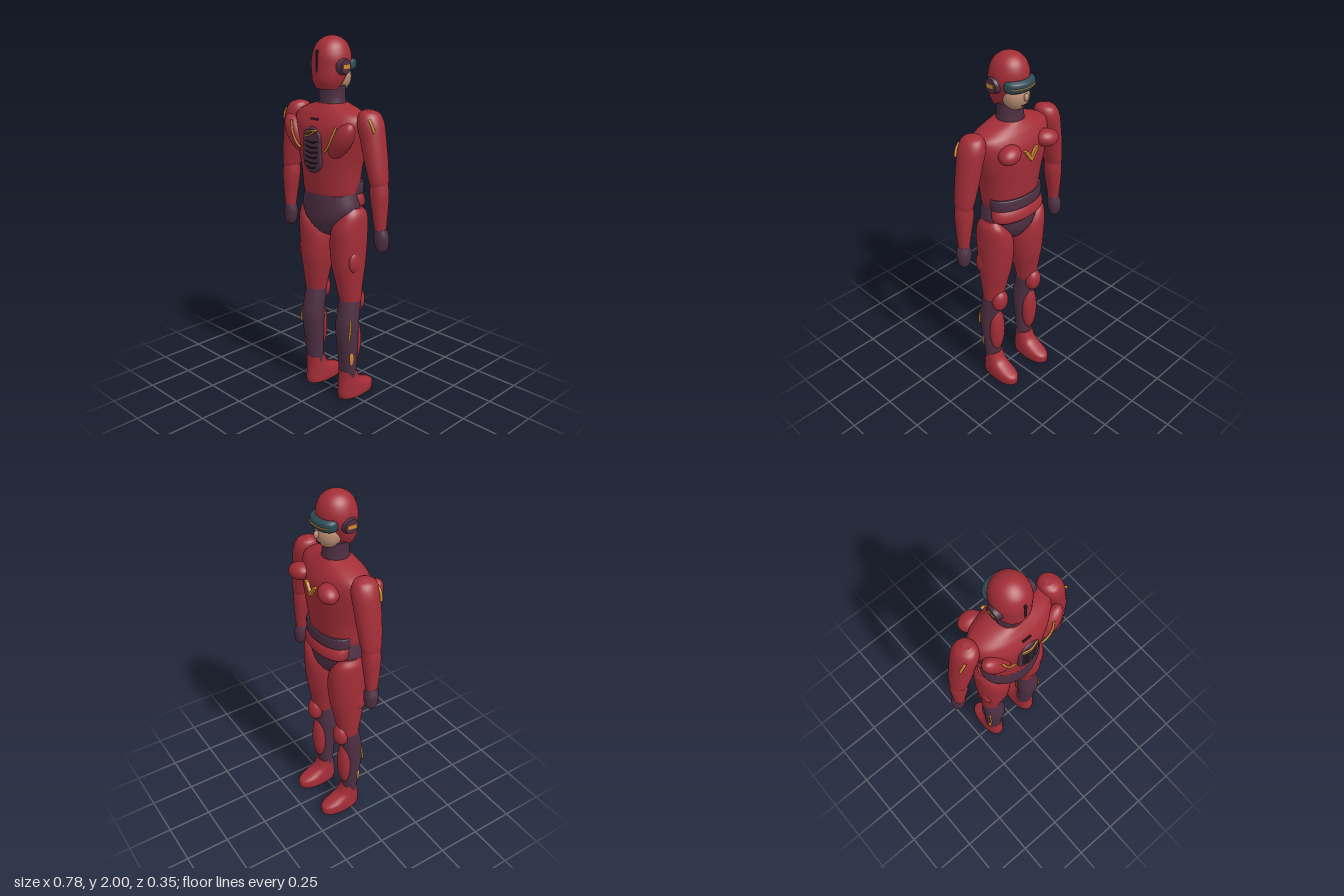
import * as THREE from 'three';

const mat = (name, color) => {
  const m = new THREE.MeshStandardMaterial({ color });
  m.name = name;
  return m;
};

// Smooth upright body made of elliptical sections [y, centreX, centreZ, radiusX, radiusZ], listed bottom to top
function loft(sections, side = 1, power = 2, steps = 5, sides = 36) {
  const centres = new THREE.CatmullRomCurve3(sections.map(s => new THREE.Vector3(s[1] * side, s[0], s[2])), false, 'catmullrom');
  const radii = new THREE.CatmullRomCurve3(sections.map(s => new THREE.Vector3(s[3], 0, s[4])), false, 'catmullrom');
  const rows = (sections.length - 1) * steps;
  const pos = [], idx = [];
  const bend = v => Math.sign(v) * Math.abs(v) ** (2 / power);
  const ring = t => {
    const c = centres.getPoint(t), r = radii.getPoint(t);
    for (let i = 0; i < sides; i++) {
      const a = (i / sides) * Math.PI * 2;
      pos.push(c.x + r.x * bend(Math.cos(a)), c.y, c.z + r.z * bend(Math.sin(a)));
    }
    return c;
  };
  for (let j = 0; j <= rows; j++) ring(j / rows);
  for (let j = 0; j < rows; j++) for (let i = 0; i < sides; i++) {
    const a = j * sides + i, b = j * sides + (i + 1) % sides;
    idx.push(a, a + sides, b, b, a + sides, b + sides);
  }
  // Flat end caps with their own corners
  for (const t of [0, 1]) {
    const start = pos.length / 3, c = ring(t), mid = pos.length / 3;
    pos.push(c.x, c.y, c.z);
    for (let i = 0; i < sides; i++) {
      const a = start + i, b = start + (i + 1) % sides;
      idx.push(...(t ? [mid, b, a] : [mid, a, b]));
    }
  }
  const g = new THREE.BufferGeometry();
  g.setAttribute('position', new THREE.Float32BufferAttribute(pos, 3));
  g.setIndex(idx);
  g.computeVertexNormals();
  return g;
}

const tube = (points, r = 0.006, side = 1) => new THREE.TubeGeometry(
  new THREE.CatmullRomCurve3(points.map(p => new THREE.Vector3(p[0] * side, p[1], p[2]))), 16, r, 8);

export function createModel() {
  const model = new THREE.Group();
  model.name = 'armouredFigure';
  const red = mat('suit red', 0xa32d37), plum = mat('plum', 0x4e2f43), gold = mat('amber trim', 0xcf8a2e);
  const teal = mat('visor teal', 0x2d4a56), skin = mat('skin', 0xb98b72), dark = mat('dark seam', 0x2c1d2a);

  const add = (name, geometry, material, position = [0, 0, 0], rotation = [0, 0, 0]) => {
    const m = new THREE.Mesh(geometry, material);
    m.name = name;
    m.position.set(...position);
    m.rotation.set(...rotation);
    model.add(m);
    return m;
  };
  const ball = (name, material, position, radii, rotation) => {
    add(name, new THREE.SphereGeometry(1, 32, 20), material, position, rotation).scale.set(...radii);
  };

  // Head, looking along -z
  add('helmet', loft([
    [1.735, 0, 0.04, 0.065, 0.055], [1.78, 0, 0.035, 0.085, 0.08], [1.85, 0, 0.015, 0.099, 0.1],
    [1.9, 0, 0.01, 0.099, 0.104], [1.95, 0, 0.008, 0.083, 0.088], [1.98, 0, 0.007, 0.057, 0.06],
    [1.995, 0, 0.007, 0.028, 0.03], [2, 0, 0.007, 0.003, 0.003]]), red);
  ball('face', skin, [0, 1.79, -0.035], [0.072, 0.078, 0.068]);
  ball('nose', skin, [0, 1.795, -0.106], [0.013, 0.02, 0.014]);
  add('mouth', new THREE.BoxGeometry(0.034, 0.005, 0.008), dark, [0, 1.753, -0.094]);
  add('visor', loft([
    [1.825, 0, -0.06, 0.078, 0.046], [1.837, 0, -0.06, 0.09, 0.057], [1.855, 0, -0.06, 0.092, 0.06],
    [1.873, 0, -0.06, 0.09, 0.057], [1.884, 0, -0.055, 0.078, 0.046]]), teal);
  const arc = [-1.1, -0.6, 0, 0.6, 1.1].map(a => [0.092 * Math.sin(a), 1.85, -0.06 - 0.06 * Math.cos(a)]);
  add('visorTrim', tube(arc, 0.004), gold);
  add('helmetSlot', new THREE.BoxGeometry(0.012, 0.11, 0.01), dark, [0, 1.875, 0.113]);
  add('neck', loft([[1.63, 0, 0.005, 0.078, 0.075], [1.69, 0, 0.005, 0.07, 0.068], [1.75, 0, 0.008, 0.072, 0.068]]), plum);

  // Torso, waist and hips
  add('torso', loft([
    [1.185, 0, 0.012, 0.158, 0.118], [1.21, 0, 0.012, 0.167, 0.124], [1.33, 0, 0.01, 0.182, 0.135],
    [1.45, 0, 0.009, 0.212, 0.145], [1.54, 0, 0.008, 0.232, 0.143], [1.6, 0, 0.006, 0.228, 0.118],
    [1.635, 0, 0.005, 0.165, 0.095], [1.662, 0, 0.005, 0.08, 0.075]], 1, 2.15), red);
  add('belt', loft([
    [1.19, 0, -0.035, 0.165, 0.09], [1.2, 0, -0.035, 0.17, 0.095],
    [1.245, 0, -0.035, 0.172, 0.095], [1.255, 0, -0.035, 0.168, 0.09]]), plum);
  add('bellyBand', loft([
    [1.11, 0, -0.05, 0.15, 0.07], [1.13, 0, -0.05, 0.172, 0.086],
    [1.165, 0, -0.045, 0.172, 0.086], [1.2, 0, -0.035, 0.16, 0.078]]), red);
  add('pelvis', loft([
    [0.945, 0, 0.008, 0.03, 0.035], [0.97, 0, 0.01, 0.075, 0.075], [1.03, 0, 0.012, 0.135, 0.118],
    [1.1, 0, 0.013, 0.182, 0.124], [1.2, 0, 0.012, 0.163, 0.12]]), plum);

  // Chest emblem
  const chevron = new THREE.Shape([[-0.05, 0.035], [-0.03, 0.035], [0, -0.01], [0.03, 0.035], [0.05, 0.035], [0, -0.035]]
    .map(p => new THREE.Vector2(...p)));
  add('chestEmblem', new THREE.ExtrudeGeometry(chevron, { depth: 0.02, bevelEnabled: false }), gold, [0, 1.497, -0.153]);

  // Back unit with ribs
  const pack = new THREE.Shape();
  pack.absarc(0, 0.055, 0.055, 0, Math.PI, false);
  pack.absarc(0, -0.055, 0.055, Math.PI, Math.PI * 2, false);
  add('backUnit', new THREE.ExtrudeGeometry(pack,
    { depth: 0.04, bevelThickness: 0.01, bevelSize: 0.01, bevelSegments: 3, curveSegments: 16 }), plum, [0, 1.43, 0.108]);
  for (let i = 0; i < 6; i++) {
    const w = i === 0 ? 0.032 : 0.046, y = 1.335 + i * 0.027;
    add('backRib', tube([[-w, y + 0.006, 0.156], [0, y, 0.162], [w, y + 0.006, 0.156]], 0.004), dark);
  }
  add('backEmblemUpper', tube([[-0.048, 1.52, 0.158], [0, 1.53, 0.17], [0.048, 1.535, 0.158]], 0.005), gold);
  add('backEmblemLower', tube([[-0.045, 1.498, 0.158], [0, 1.51, 0.17], [0.03, 1.53, 0.164]], 0.005), gold);
  add('collarSlot', new THREE.BoxGeometry(0.05, 0.01, 0.012), dark, [0, 1.587, 0.132], [-0.4, 0, 0]);

  // Paired parts
  for (const s of [1, -1]) {
    add('earDisc', new THREE.CylinderGeometry(0.036, 0.045, 0.03, 28), plum, [s * 0.101, 1.85, 0.022], [0, 0, -s * Math.PI / 2]);
    add('earLight', new THREE.BoxGeometry(0.008, 0.02, 0.045), gold, [s * 0.115, 1.85, 0.022]);

    ball('chestPad', red, [s * 0.132, 1.54, -0.125], [0.066, 0.046, 0.054], [0, s * 0.25, -s * 0.15]);
    ball('shoulderBlade', red, [s * 0.165, 1.49, 0.105], [0.055, 0.115, 0.052], [0, 0, -s * 0.65]);
    add('backStripe', tube([[0.165, 1.565, 0.143], [0.145, 1.51, 0.157], [0.115, 1.455, 0.157], [0.088, 1.43, 0.152]], 0.006, s), gold);

    // Arm
    add('upperArm', loft([
      [1.265, 0.331, 0, 0.038, 0.045], [1.3, 0.327, 0, 0.048, 0.056], [1.4, 0.307, 0, 0.057, 0.066],
      [1.5, 0.286, 0, 0.063, 0.071], [1.58, 0.267, 0, 0.066, 0.074], [1.63, 0.257, 0, 0.05, 0.056],
      [1.648, 0.25, 0, 0.02, 0.02]], s), red);
    add('shoulderStripe', tube([[0.3, 1.61, 0.051], [0.322, 1.58, 0.051], [0.334, 1.545, 0.046]], 0.007, s), gold);
    add('forearm', loft([
      [1.03, 0.345, 0, 0.028, 0.032], [1.12, 0.34, 0, 0.038, 0.042],
      [1.22, 0.333, 0, 0.049, 0.05], [1.29, 0.33, 0, 0.043, 0.048]], s), red);
    add('glove', loft([
      [0.92, 0.352, -0.006, 0.016, 0.016], [0.945, 0.351, -0.006, 0.033, 0.033],
      [1, 0.348, -0.005, 0.041, 0.039], [1.045, 0.345, 0, 0.03, 0.034]], s), plum);

    // Leg
    add('thigh', loft([
      [0.59, 0.135, 0.002, 0.06, 0.058], [0.7, 0.127, 0.003, 0.076, 0.078], [0.8, 0.12, 0.002, 0.09, 0.098],
      [0.92, 0.118, 0, 0.096, 0.108], [1.01, 0.128, 0, 0.085, 0.108], [1.08, 0.15, -0.005, 0.058, 0.085],
      [1.12, 0.158, -0.005, 0.03, 0.05]], s), red);
    ball('thighPad', red, [s * 0.195, 0.83, 0.03], [0.02, 0.06, 0.042]);
    ball('kneePad', red, [s * 0.135, 0.58, -0.048], [0.05, 0.07, 0.043]);
    add('shin', loft([
      [0.13, 0.13, 0.015, 0.052, 0.042], [0.25, 0.135, 0.02, 0.058, 0.05], [0.42, 0.135, 0.027, 0.066, 0.062],
      [0.52, 0.135, 0.015, 0.064, 0.062], [0.6, 0.135, 0.002, 0.06, 0.058]], s), plum);
    ball('shinGuard', red, [s * 0.135, 0.35, -0.022], [0.05, 0.155, 0.04]);
    add('calfStripe', tube([[0.186, 0.49, 0.052], [0.193, 0.44, 0.06], [0.192, 0.38, 0.068]], 0.006, s), gold);
    ball('calfLight', gold, [s * 0.187, 0.26, 0.042], [0.006, 0.042, 0.012], [0, -s * 0.4, 0]);
    add('boot', loft([
      [0, 0.13, -0.05, 0.058, 0.122], [0.025, 0.13, -0.05, 0.06, 0.125], [0.052, 0.13, -0.046, 0.059, 0.119],
      [0.08, 0.13, -0.018, 0.056, 0.088], [0.11, 0.13, 0.003, 0.053, 0.062], [0.165, 0.13, 0.014, 0.051, 0.047]], s, 2.3), red);
  }
  return model;
}
